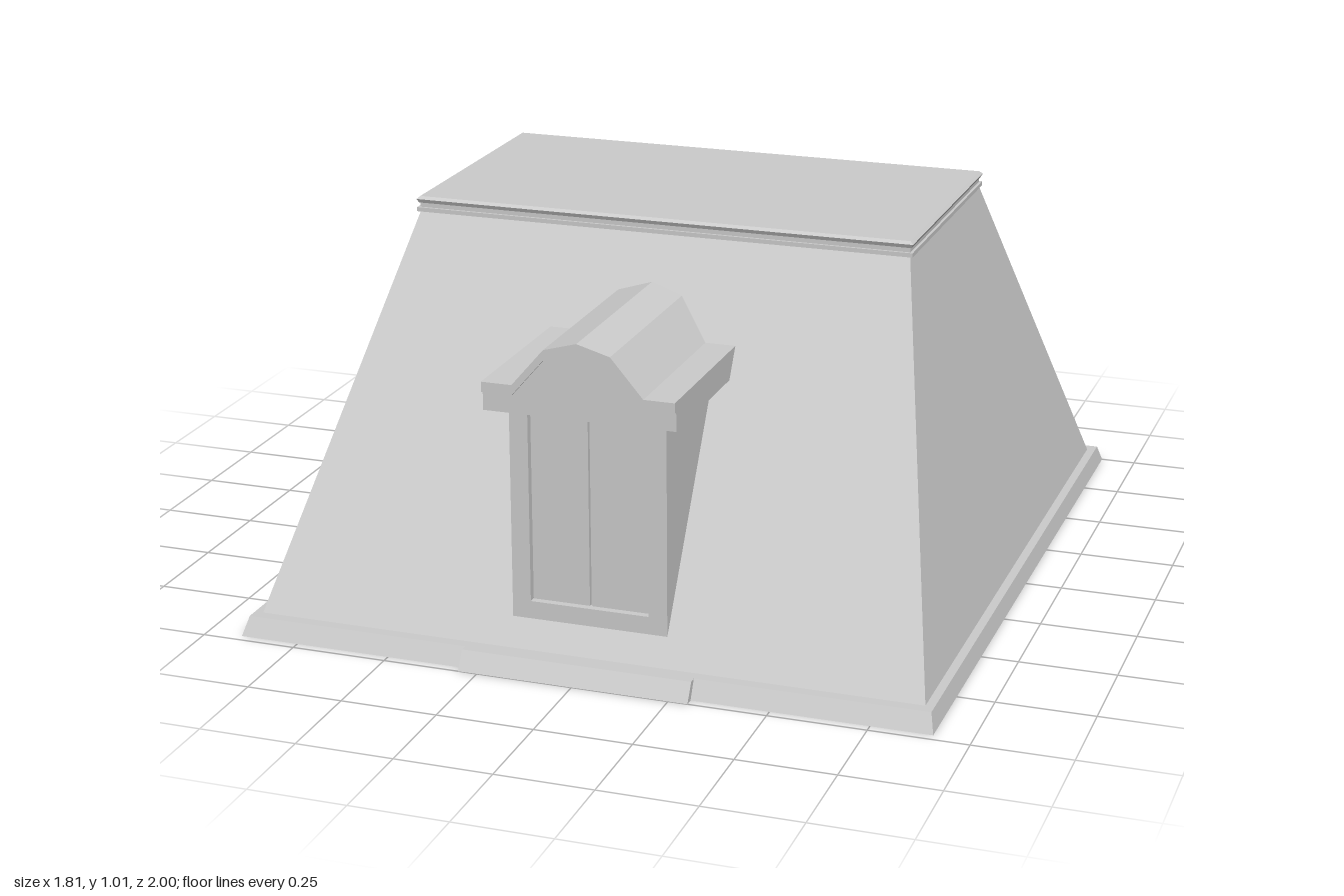
import * as THREE from 'three';

const material = new THREE.MeshStandardMaterial({ color: 0xcccccc, flatShading: true });

function add(parent, name, geometry) {
  const mesh = new THREE.Mesh(geometry, material);
  mesh.name = name;
  parent.add(mesh);
  return mesh;
}

// Tapered block: each rectangle is [x0, x1, z0, z1]
function frustum(y0, y1, low, high) {
  const g = new THREE.BoxGeometry(1, 1, 1);
  const p = g.attributes.position;
  for (let i = 0; i < p.count; i++) {
    const up = p.getY(i) > 0;
    const r = up ? high : low;
    p.setXYZ(i, p.getX(i) < 0 ? r[0] : r[1], up ? y1 : y0, p.getZ(i) < 0 ? r[2] : r[3]);
  }
  g.computeVertexNormals();
  return g;
}

const block = (x0, x1, y0, y1, z0, z1) => frustum(y0, y1, [x0, x1, z0, z1], [x0, x1, z0, z1]);

// Outline in x, y pushed from z0 to z1
function prism(shape, z0, z1) {
  const g = new THREE.ExtrudeGeometry(shape, { depth: z1 - z0, bevelEnabled: false });
  return g.translate(0, 0, z0);
}

const outline = (points) => new THREE.Shape(points.map(([x, y]) => new THREE.Vector2(x, y)));

export function createModel() {
  const model = new THREE.Group();
  model.name = 'mansardRoof';

  // Eaves with a projecting centre
  add(model, 'eaves', frustum(0, 0.047, [-0.905, 0.905, -1, 0.977], [-0.893, 0.893, -0.975, 0.952]));
  add(model, 'eavesProjection', frustum(0, 0.047, [-0.3, 0.3, 0.8, 1], [-0.3, 0.3, 0.8, 0.972]));

  // Sloping roof body
  add(model, 'roofSlopes', frustum(0.04, 0.977, [-0.872, 0.872, -0.947, 0.926], [-0.657, 0.657, -0.365, 0.342]));

  // Stepped moulding round the flat top
  const ring = (grow) => [-0.657 - grow, 0.657 + grow, -0.365 - grow, 0.342 + grow];
  add(model, 'lowerMoulding', frustum(0.975, 0.986, ring(0.008), ring(0.008)));
  add(model, 'mouldingGroove', frustum(0.986, 0.998, ring(0.001), ring(0.001)));
  add(model, 'upperMoulding', frustum(0.998, 1.008, ring(0.004), ring(0.009)));
  add(model, 'flatTop', frustum(1.008, 1.015, ring(0.009), ring(0.001)));

  // Dormer
  const dormer = new THREE.Group();
  dormer.name = 'dormer';
  dormer.position.x = 0.004;
  model.add(dormer);

  const frame = outline([[-0.203, 0.08], [0.203, 0.08], [0.203, 0.68], [-0.203, 0.68]]);
  frame.holes.push(outline([[-0.155, 0.16], [-0.155, 0.67], [0.155, 0.67], [0.155, 0.16]]));
  add(dormer, 'dormerFrame', prism(frame, 0.855, 0.88));
  add(dormer, 'dormerWalls', block(-0.203, 0.203, 0.08, 0.68, 0.5, 0.856));

  // Pair of window leaves in the recess
  for (const s of [-1, 1]) {
    const inner = s * 0.003, outer = s * 0.152;
    add(dormer, s < 0 ? 'rightLeaf' : 'leftLeaf',
      block(Math.min(inner, outer), Math.max(inner, outer), 0.163, 0.67, 0.85, 0.868));
  }

  // Arched roof line, mirrored about the ridge
  const half = [[0.247, 0.745], [0.168, 0.745], [0.085, 0.842], [0, 0.866]];
  const arch = [...half, ...half.slice(0, 3).reverse().map(([x, y]) => [-x, y])];
  const under = arch.map(([x, y]) => [x, y - 0.026]);
  const backZ = 0.37;
  add(dormer, 'pediment', prism(outline([[-0.247, 0.67], [0.247, 0.67], ...under]), backZ, 0.935));
  add(dormer, 'dormerRoof', prism(outline([...arch, ...under.slice().reverse()]), backZ, 0.945));

  return model;
}
